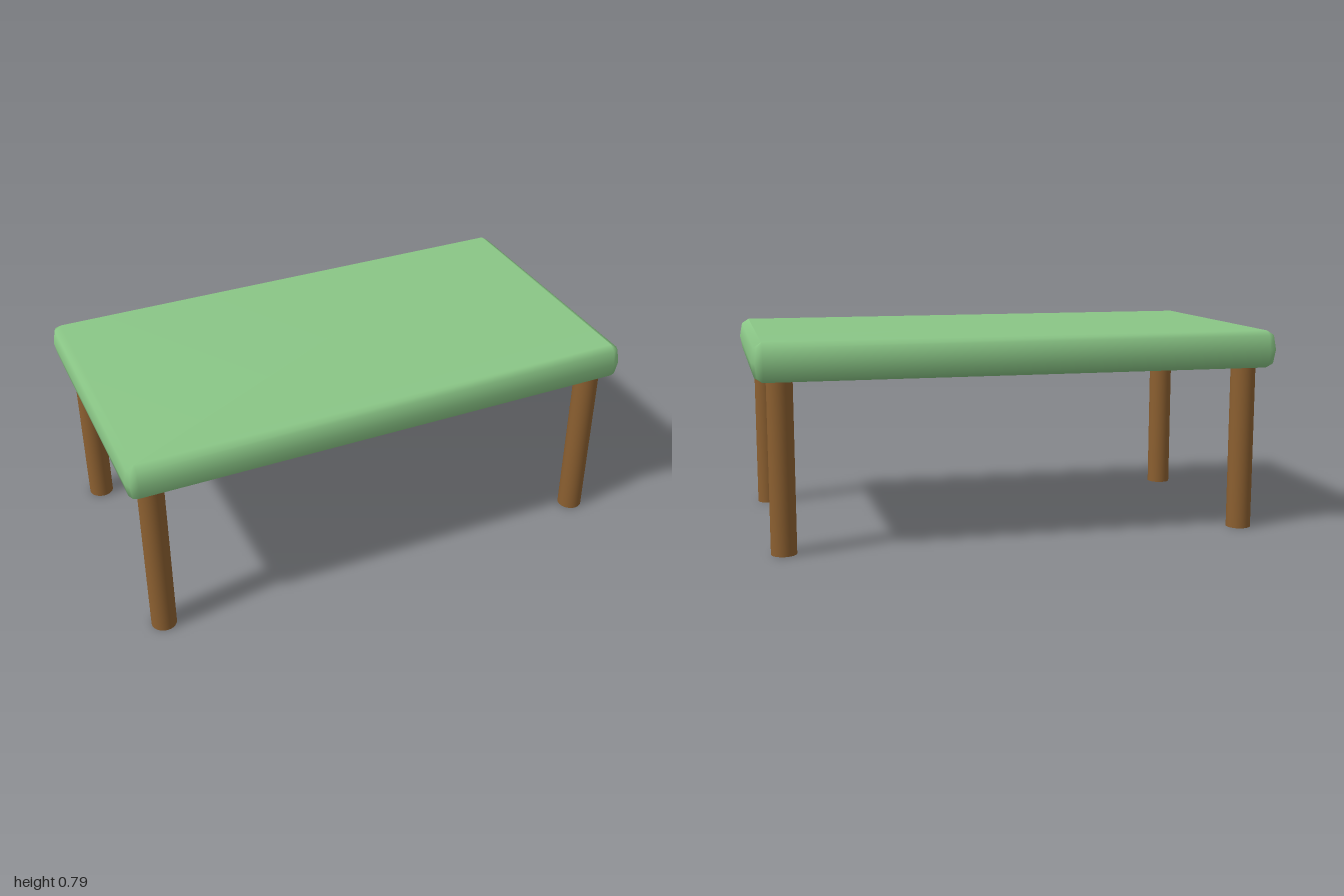
import * as THREE from 'three';

const green = new THREE.MeshStandardMaterial({ color: 0x8ac686 });
const brown = new THREE.MeshStandardMaterial({ color: 0x8b5f30 });

// Slab from stacked rounded rectangles; profile holds [height, inset] from bottom to top
function paddedSlab(halfX, halfZ, radius, profile) {
  const positions = [], index = [], n = 12;
  const cx = halfX - radius, cz = halfZ - radius;
  for (const [y, inset] of profile) {
    const r = Math.max(radius - inset, 0.002);
    for (let corner = 0; corner < 4; corner++) {
      const sx = corner === 0 || corner === 3 ? 1 : -1;
      const sz = corner < 2 ? -1 : 1;
      for (let k = 0; k < 3; k++) {
        const a = (corner + k / 2) * Math.PI / 2;
        positions.push(sx * cx + r * Math.cos(a), y, sz * cz - r * Math.sin(a));
      }
    }
  }
  const last = (profile.length - 1) * n;
  for (let i = 0; i < last; i += n) {
    for (let j = 0; j < n; j++) {
      const a = i + j, b = i + (j + 1) % n;
      index.push(a, b, b + n, a, b + n, a + n);
    }
  }
  // Flat top and underside
  for (let j = 1; j < n - 1; j++) {
    index.push(last, last + j, last + j + 1);
    index.push(0, j + 1, j);
  }
  const geometry = new THREE.BufferGeometry();
  geometry.setAttribute('position', new THREE.Float32BufferAttribute(positions, 3));
  geometry.setIndex(index);
  geometry.computeVertexNormals();
  return geometry;
}

export function createModel() {
  const table = new THREE.Group();
  table.name = 'table';

  // Tabletop with softly rounded rim
  const top = new THREE.Mesh(paddedSlab(1, 0.545, 0.04, [
    [0.646, 0.04], [0.664, 0.01], [0.718, 0], [0.772, 0.01], [0.79, 0.04],
  ]), green);
  top.name = 'tabletop';
  table.add(top);

  // Four round legs, the front pair closer to the edge than the back pair
  const height = 0.66;
  const legGeometry = new THREE.CylinderGeometry(0.048, 0.048, height, 32);
  for (const [row, z] of [['front', 0.462], ['back', -0.428]]) {
    for (const [side, x] of [['Left', 0.898], ['Right', -0.902]]) {
      const leg = new THREE.Mesh(legGeometry, brown);
      leg.name = `${row}${side}Leg`;
      leg.position.set(x, height / 2, z);
      table.add(leg);
    }
  }
  return table;
}
